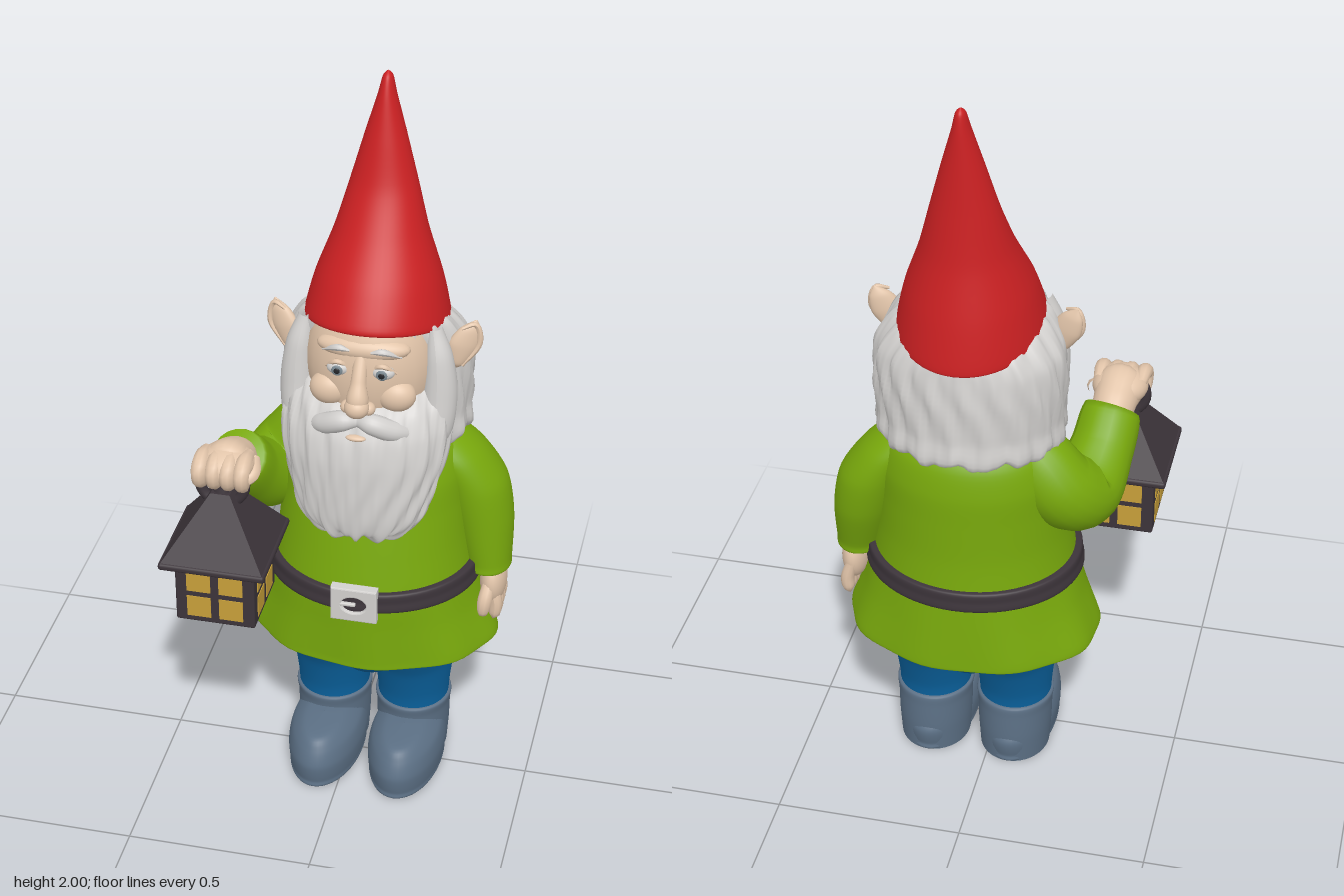
import * as THREE from 'three';
import { toCreasedNormals } from 'three/addons/utils/BufferGeometryUtils.js';
import { RoundedBoxGeometry } from 'three/addons/geometries/RoundedBoxGeometry.js';

const V = (x, y, z) => new THREE.Vector3(x, y, z);
const CX = 0.05; // middle of the body

function paint(name, color) {
  const m = new THREE.MeshStandardMaterial({ color });
  m.name = name;
  return m;
}

// Skin over elliptical rings [x, y, z, rx, rz, tilt], bottom to top.
// wobble(angle, t, y) scales the radius, drop(angle, t) shifts the height.
function loft(rings, { segs = 48, steps = 6, wobble = () => 1, drop = () => 0 } = {}) {
  const curve = (f) => new THREE.CatmullRomCurve3(rings.map(f), false, 'catmullrom', 0.4);
  const centres = curve((r) => V(r[0], r[1], r[2]));
  const sizes = curve((r) => V(r[3], r[4], r[5] || 0));
  const n = (rings.length - 1) * steps, pos = [], index = [];
  for (let i = 0; i <= n; i++) {
    const t = i / n, c = centres.getPoint(t), s = sizes.getPoint(t);
    for (let j = 0; j < segs; j++) {
      const a = (j / segs) * Math.PI * 2, w = wobble(a, t, c.y);
      const dz = Math.sin(a) * s.y * w;
      pos.push(c.x + Math.cos(a) * s.x * w, c.y + dz * s.z + drop(a, t), c.z + dz);
      if (i < n) {
        const k = (j + 1) % segs, p = i * segs, q = p + segs;
        index.push(p + j, q + j, p + k, q + j, q + k, p + k);
      }
    }
  }
  const g = new THREE.BufferGeometry();
  g.setAttribute('position', new THREE.Float32BufferAttribute(pos, 3));
  g.setIndex(index);
  g.computeVertexNormals();
  return g;
}

// Tube whose radius changes along its points [x, y, z, r].
function limb(points, n = 32, radial = 20) {
  const path = new THREE.CatmullRomCurve3(points.map((p) => V(p[0], p[1], p[2])));
  const radius = new THREE.CatmullRomCurve3(points.map((p) => V(p[3], 0, 0)), false, 'catmullrom', 0.4);
  const g = new THREE.TubeGeometry(path, n, 1, radial);
  const pos = g.attributes.position, v = V(0, 0, 0);
  for (let k = 0; k < pos.count; k++) {
    const u = Math.floor(k / (radial + 1)) / n;
    const c = path.getPointAt(u), r = Math.max(0.0005, radius.getPoint(path.getUtoTmapping(u)).x);
    v.fromBufferAttribute(pos, k).sub(c).multiplyScalar(r).add(c);
    pos.setXYZ(k, v.x, v.y, v.z);
  }
  g.computeVertexNormals();
  return g;
}

const ball = (rx, ry, rz) => new THREE.SphereGeometry(1, 28, 20).scale(rx, ry, rz);

export function createModel() {
  const gnome = new THREE.Group();
  gnome.name = 'gardenGnome';
  const red = paint('hatRed', 0xcb2022), skin = paint('skin', 0xe2c5aa), white = paint('hairWhite', 0xd2d0ce);
  const green = paint('tunicGreen', 0x78a80c), blue = paint('trouserBlue', 0x0a629e);
  const slate = paint('bootSlate', 0x5b6f84), dark = paint('darkIron', 0x3c343a);
  const amber = paint('windowAmber', 0xc8a03a), black = paint('pupilBlack', 0x24262a), grey = paint('irisGrey', 0x7c8a92);

  const add = (name, geo, mat, x = 0, y = 0, z = 0, parent = gnome) => {
    const m = new THREE.Mesh(geo, mat);
    m.name = name;
    m.position.set(x, y, z);
    parent.add(m);
    return m;
  };

  // Boots and trouser legs
  for (const s of [-1, 1]) {
    const x = CX + s * 0.113;
    add('bootFoot', loft([
      [x, 0, 0, 0.001, 0.001], [x, 0, 0, 0.092, 0.185], [x, 0.02, 0, 0.101, 0.198], [x, 0.07, 0, 0.104, 0.203],
      [x, 0.115, 0.01, 0.092, 0.175], [x, 0.145, 0.04, 0.055, 0.115], [x, 0.153, 0.05, 0.001, 0.001]]), slate);
    add('bootShaft', loft([
      [x, 0, -0.085, 0.095, 0.11], [x, 0.08, -0.085, 0.1, 0.113], [x, 0.15, -0.083, 0.102, 0.112],
      [x, 0.182, -0.08, 0.105, 0.112], [x, 0.187, -0.08, 0.085, 0.09]]), slate);
    add('trouserLeg', loft([
      [x, 0.15, -0.08, 0.097, 0.102], [x, 0.22, -0.08, 0.1, 0.109], [x, 0.32, -0.082, 0.112, 0.14],
      [x, 0.42, -0.083, 0.132, 0.188], [x, 0.52, -0.083, 0.13, 0.18]]), blue);
  }
  add('trouserSeat', ball(0.14, 0.16, 0.18), blue, CX, 0.42, -0.083);

  // Tunic, from the inside of the skirt around the hem up to the neck
  add('tunic', loft([
    [CX, 0.52, -0.085, 0.1, 0.1], [CX, 0.51, -0.085, 0.25, 0.21], [CX, 0.43, -0.085, 0.315, 0.232],
    [CX, 0.418, -0.085, 0.338, 0.252], [CX, 0.44, -0.085, 0.336, 0.253], [CX, 0.54, -0.08, 0.3, 0.25],
    [CX, 0.64, -0.075, 0.274, 0.246], [CX, 0.75, -0.08, 0.258, 0.232], [CX, 0.86, -0.09, 0.25, 0.22],
    [CX, 0.95, -0.098, 0.245, 0.21], [CX, 1.03, -0.105, 0.215, 0.185], [CX, 1.08, -0.11, 0.13, 0.13],
    [CX, 1.09, -0.11, 0.001, 0.001]], {
    segs: 72,
    wobble: (a, t, y) => 1 + 0.014 * Math.sin(9 * a + 1) * Math.max(0, Math.min(1, (0.62 - y) / 0.18)),
  }), green);

  // Belt with buckle
  add('belt', loft([
    [CX, 0.614, -0.075, 0.25, 0.22], [CX, 0.618, -0.075, 0.291, 0.258], [CX, 0.645, -0.075, 0.288, 0.257],
    [CX, 0.671, -0.075, 0.284, 0.254], [CX, 0.675, -0.075, 0.25, 0.22]], { segs: 64 }), dark);
  const frame = new THREE.Shape([[-0.058, -0.047], [0.058, -0.047], [0.058, 0.047], [-0.058, 0.047]].map((p) => new THREE.Vector2(...p)));
  frame.holes.push(new THREE.Path().absellipse(0, 0, 0.038, 0.029, 0, Math.PI * 2));
  add('buckle', new THREE.ExtrudeGeometry(frame, { depth: 0.022, bevelSize: 0.004, bevelThickness: 0.004, bevelSegments: 2 }), white, CX, 0.644, 0.168);
  add('buckleTongue', new RoundedBoxGeometry(0.05, 0.01, 0.012, 2, 0.004), white, CX - 0.02, 0.644, 0.188);

  // Hanging left arm and open hand
  add('leftSleeve', loft([
    [0.358, 0.635, -0.1, 0.001, 0.001], [0.358, 0.632, -0.1, 0.058, 0.07], [0.356, 0.66, -0.102, 0.064, 0.075],
    [0.335, 0.78, -0.12, 0.083, 0.096], [0.305, 0.89, -0.125, 0.092, 0.105], [0.255, 0.98, -0.12, 0.08, 0.1],
    [0.2, 1.04, -0.115, 0.06, 0.07], [0.18, 1.05, -0.11, 0.001, 0.001]]), green);
  add('leftPalm', ball(0.036, 0.075, 0.062), skin, 0.375, 0.585, -0.095);
  for (let i = 0; i < 4; i++) {
    const z = -0.06 - i * 0.028, low = 0.475 + 0.006 * Math.abs(i - 1);
    add('leftFinger', limb([[0.375, 0.58, z, 0.015], [0.388, 0.53, z, 0.018], [0.386, low + 0.01, z, 0.016], [0.382, low - 0.01, z, 0.001]], 12, 10), skin);
  }
  add('leftThumb', limb([[0.37, 0.6, -0.06, 0.016], [0.362, 0.55, -0.03, 0.019], [0.358, 0.51, -0.028, 0.015], [0.357, 0.5, -0.03, 0.001]], 12, 10), skin);

  // Bent right arm and fist
  add('rightSleeve', limb([
    [-0.06, 1.03, -0.12, 0.03], [-0.12, 1.0, -0.13, 0.085], [-0.19, 0.91, -0.13, 0.1], [-0.235, 0.865, -0.07, 0.1],
    [-0.265, 0.93, 0.03, 0.085], [-0.278, 1.01, 0.105, 0.073], [-0.28, 1.017, 0.113, 0.001]], 44), green);
  add('rightWrist', limb([[-0.275, 0.98, 0.07, 0.05], [-0.28, 1.02, 0.13, 0.058], [-0.285, 1.035, 0.19, 0.062], [-0.285, 1.03, 0.22, 0.001]]), skin);
  add('rightFist', ball(0.074, 0.05, 0.075), skin, -0.285, 1.04, 0.18);
  for (let i = 0; i < 4; i++) {
    const x = -0.342 + i * 0.037;
    add('rightFinger', limb([[x, 1.06, 0.16, 0.015], [x, 1.065, 0.21, 0.021], [x, 1.045, 0.243, 0.021], [x, 1.01, 0.235, 0.019], [x, 1.0, 0.2, 0.012]], 16, 10), skin);
  }
  add('rightThumb', limb([[-0.225, 1.04, 0.15, 0.02], [-0.215, 1.02, 0.19, 0.019], [-0.235, 1.005, 0.22, 0.012]], 12, 10), skin);

  // Lantern
  const lantern = new THREE.Group();
  lantern.name = 'lantern';
  lantern.position.set(-0.29, 0, 0.21);
  gnome.add(lantern);
  add('lanternBody', new RoundedBoxGeometry(0.212, 0.19, 0.212, 2, 0.006), dark, 0, 0.715, 0, lantern);
  add('lanternEaves', new RoundedBoxGeometry(0.282, 0.02, 0.282, 2, 0.008), dark, 0, 0.804, 0, lantern);
  const roof = new THREE.CylinderGeometry(0.036, 0.193, 0.165, 4).rotateY(Math.PI / 4);
  add('lanternRoof', toCreasedNormals(roof, 0.5), dark, 0, 0.893, 0, lantern);
  add('lanternKnob', new THREE.CylinderGeometry(0.02, 0.028, 0.03, 16), dark, 0, 0.975, 0, lantern);
  add('lanternRing', new THREE.TorusGeometry(0.06, 0.014, 12, 32), dark, 0, 0.995, 0, lantern);
  for (let side = 0; side < 4; side++) {
    const panes = new THREE.Group();
    panes.name = 'lanternWindow';
    panes.rotation.y = side * Math.PI / 2;
    lantern.add(panes);
    for (const x of [-0.043, 0.043]) for (const y of [0.67, 0.749])
      add('pane', new THREE.BoxGeometry(0.064, 0.063, 0.006), amber, x, y, 0.105, panes);
  }

  // Hair and beard with wavy strands
  const strands = (a, t, y) => 1 + 0.022 * Math.sin(17 * a + 3 * Math.sin(y * 13)) + 0.014 * Math.sin(37 * a - y * 15);
  const ragged = (a, t) => Math.max(0, 1 - t * 3) * (0.016 * Math.sin(11 * a) + 0.01 * Math.sin(23 * a + 1));
  add('hair', loft([
    [CX, 1.06, -0.12, 0.001, 0.001], [CX, 1.045, -0.115, 0.225, 0.182], [CX, 1.12, -0.115, 0.24, 0.185],
    [CX, 1.22, -0.115, 0.245, 0.184], [CX, 1.31, -0.112, 0.236, 0.18, 0.1], [CX, 1.38, -0.1, 0.195, 0.18, 0.23],
    [CX, 1.42, -0.1, 0.14, 0.13, 0.23]], { segs: 120, wobble: strands, drop: ragged }), white);
  add('beard', loft([
    [CX, 0.86, 0.125, 0.001, 0.001], [CX, 0.855, 0.125, 0.11, 0.055], [CX, 0.9, 0.1, 0.165, 0.092],
    [CX, 0.98, 0.075, 0.19, 0.118], [CX, 1.07, 0.05, 0.212, 0.137], [CX, 1.14, 0.025, 0.218, 0.145],
    [CX, 1.2, -0.01, 0.212, 0.145], [CX, 1.25, -0.04, 0.2, 0.1]], { segs: 120, wobble: strands, drop: ragged }), white);
  for (const s of [-1, 1]) {
    add('moustache', limb([
      [CX, 1.19, 0.145, 0.014], [CX + s * 0.035, 1.19, 0.15, 0.027], [CX + s * 0.085, 1.166, 0.132, 0.028],
      [CX + s * 0.13, 1.15, 0.1, 0.018], [CX + s * 0.16, 1.16, 0.07, 0.001]]), white);
    add('sideburn', limb([
      [CX + s * 0.165, 1.4, 0.0, 0.02], [CX + s * 0.18, 1.32, 0.01, 0.036], [CX + s * 0.185, 1.22, 0.015, 0.045],
      [CX + s * 0.18, 1.12, 0.03, 0.04], [CX + s * 0.17, 1.04, 0.04, 0.001]]), white);
  }
  add('lowerLip', ball(0.026, 0.008, 0.012), skin, CX, 1.153, 0.166);

  // Face
  add('head', ball(0.168, 0.215, 0.142), skin, CX, 1.29, -0.015);
  add('brow', ball(0.12, 0.035, 0.045), skin, CX, 1.372, 0.075);
  add('noseBridge', limb([[CX, 1.36, 0.1, 0.018], [CX, 1.3, 0.135, 0.02], [CX, 1.25, 0.15, 0.028], [CX, 1.22, 0.14, 0.002]]), skin);
  add('noseTip', ball(0.032, 0.028, 0.03), skin, CX, 1.238, 0.157);
  for (const s of [-1, 1]) {
    const x = CX + s * 0.057;
    add('nostril', ball(0.018, 0.017, 0.02), skin, CX + s * 0.027, 1.23, 0.142);
    add('cheek', ball(0.052, 0.045, 0.04), skin, CX + s * 0.085, 1.245, 0.085);
    add('eyeball', ball(0.03, 0.019, 0.02), white, x, 1.322, 0.11);
    add('iris', ball(0.0145, 0.0145, 0.004), grey, x, 1.322, 0.128);
    add('pupil', ball(0.008, 0.008, 0.003), black, x, 1.322, 0.131);
    add('upperLid', limb([[x - 0.034, 1.32, 0.105, 0.003], [x, 1.345, 0.122, 0.007], [x + 0.034, 1.32, 0.105, 0.003]], 16, 8), skin);
    add('eyebrow', limb([[x - s * 0.03, 1.378, 0.118, 0.003], [x, 1.382, 0.116, 0.009], [x + s * 0.045, 1.36, 0.095, 0.002]], 16, 8), white);
    // Pointed ear with a hollow
    const ear = new THREE.Group();
    ear.name = 'ear';
    ear.position.set(CX + s * 0.228, 1.335, -0.045);
    ear.rotation.set(0, s * 0.35, -s * 0.22);
    gnome.add(ear);
    add('earShell', loft([
      [0, -0.07, 0, 0.001, 0.001], [0, -0.05, 0, 0.022, 0.016], [s * 0.004, 0, 0, 0.04, 0.02],
      [s * 0.012, 0.045, 0, 0.028, 0.014], [s * 0.02, 0.075, 0, 0.001, 0.001]], { segs: 24 }), skin, 0, 0, 0, ear);
    add('earRim', limb([[-s * 0.015, 0.05, 0.012, 0.004], [s * 0.018, 0.065, 0.008, 0.007], [s * 0.04, 0.015, 0.012, 0.008], [s * 0.012, -0.055, 0.01, 0.005]], 20, 8), skin, 0, 0, 0, ear);
  }

  // Pointed hat leaning back, brim higher at the front
  add('hat', loft([
    [CX, 1.395, -0.095, 0.14, 0.15, 0.23], [CX, 1.368, -0.095, 0.182, 0.198, 0.237], [CX, 1.385, -0.096, 0.186, 0.203, 0.237],
    [CX, 1.48, -0.112, 0.163, 0.168, 0.2], [CX, 1.6, -0.133, 0.12, 0.115, 0.1], [CX, 1.72, -0.157, 0.086, 0.075],
    [CX, 1.84, -0.172, 0.053, 0.05], [CX, 1.94, -0.184, 0.024, 0.031], [CX, 1.985, -0.19, 0.013, 0.018],
    [CX, 2, -0.192, 0.001, 0.001]], { segs: 56 }), red);

  return gnome;
}
